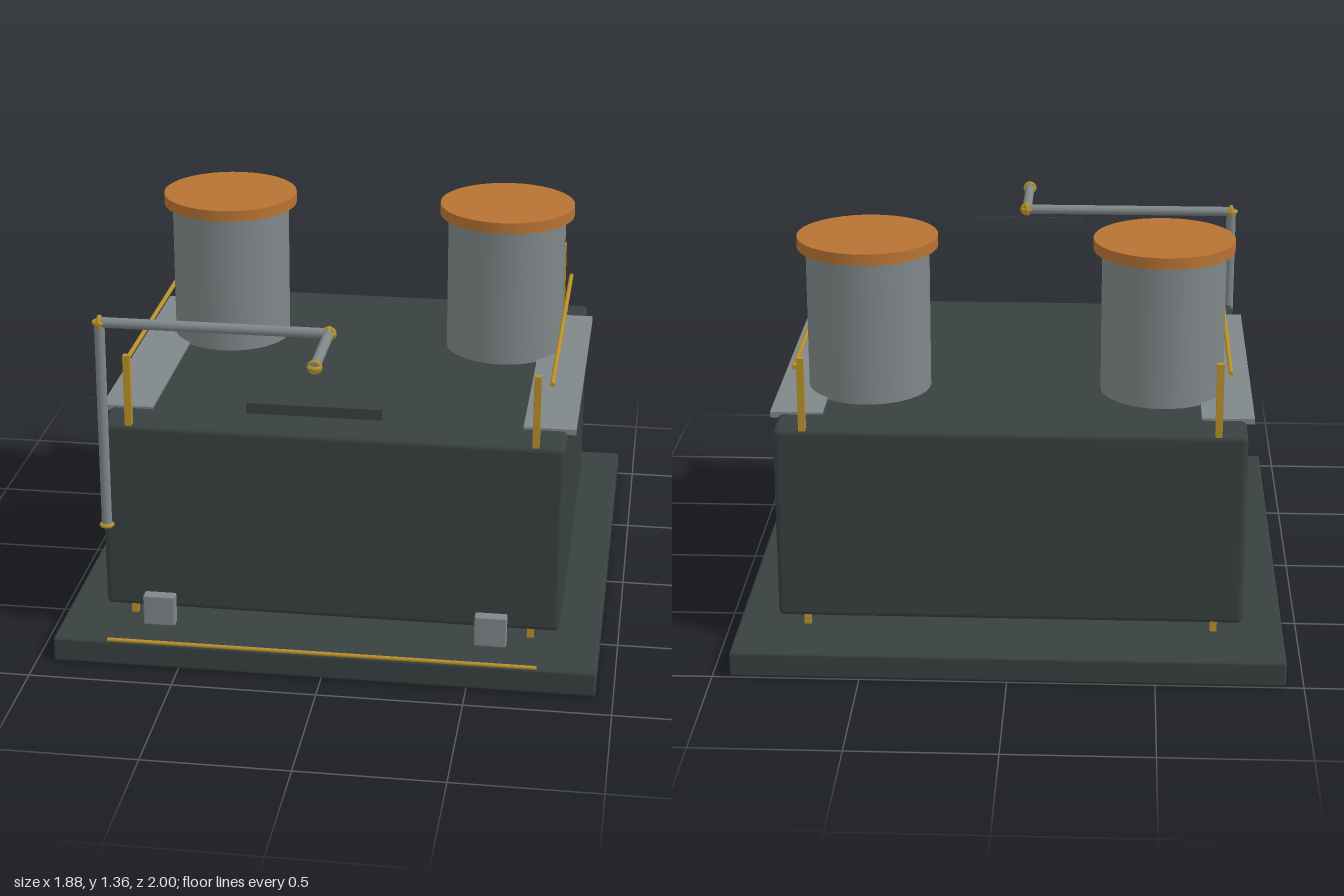
import * as THREE from 'three';
import { RoundedBoxGeometry } from 'three/addons/geometries/RoundedBoxGeometry.js';

export function createModel() {
  const model = new THREE.Group();
  model.name = 'stovePlatform';

  const paint = (name, color) => {
    const m = new THREE.MeshStandardMaterial({ color });
    m.name = name;
    return m;
  };
  const iron = paint('dark iron', 0x384040);
  const steel = paint('grey steel', 0x7f8788);
  const brass = paint('brass', 0xb8902a);
  const copper = paint('copper', 0xb87333);

  const add = (name, geometry, material, x, y, z) => {
    const mesh = new THREE.Mesh(geometry, material);
    mesh.name = name;
    mesh.position.set(x, y, z);
    model.add(mesh);
    return mesh;
  };
  const box = (name, w, h, d, material, x, y, z, r = 0) =>
    add(name, r ? new RoundedBoxGeometry(w, h, d, 3, r) : new THREE.BoxGeometry(w, h, d), material, x, y, z);

  // Round bar between two points
  const rod = (name, a, b, radius, material, sides = 16) => {
    const from = new THREE.Vector3(...a), to = new THREE.Vector3(...b);
    const dir = to.clone().sub(from);
    const mid = from.clone().add(to).multiplyScalar(0.5);
    const mesh = add(name, new THREE.CylinderGeometry(radius, radius, dir.length(), sides), material, mid.x, mid.y, mid.z);
    mesh.quaternion.setFromUnitVectors(new THREE.Vector3(0, 1, 0), dir.normalize());
  };

  // Base slab and main body
  box('baseSlab', 1.88, 0.09, 1.888, iron, 0, 0.045, -0.056, 0.01);
  box('body', 1.6, 0.69, 1.435, iron, 0, 0.465, -0.052, 0.02);

  for (const s of [-1, 1]) {
    // Chimneys with copper caps
    add('chimney', new THREE.CylinderGeometry(0.215, 0.215, 0.53, 40), steel, s * 0.514, 1.065, -0.3);
    add('chimneyCap', new THREE.CylinderGeometry(0.245, 0.245, 0.04, 40), copper, s * 0.514, 1.34, -0.3);

    // Side walkway and handrail
    box('walkway', 0.18, 0.02, 1.13, steel, s * 0.737, 0.808, -0.055);
    rod('handrail', [s * 0.74, 0.98, -0.618], [s * 0.74, 0.98, 0.512], 0.008, brass, 12);

    // Corner posts running from the base through the body
    for (const z of [0.647, -0.753])
      box('cornerPost', 0.024, 0.975, 0.022, brass, s * 0.7, 0.575, z);

    // Front blocks and the small pads under the slab
    box('frontBlock', 0.11, 0.11, 0.042, steel, s * 0.574, 0.19, 0.81, 0.005);
    box('basePad', 0.08, 0.006, 0.03, steel, s * 0.74, 0.002, 0.8);
  }

  // Brass rod along the front edge
  rod('frontRod', [-0.74, 0.11, 0.911], [0.74, 0.11, 0.911], 0.007, brass, 12);

  // Pipe: up the front corner, across, then forward
  const foot = [-0.785, 0.435, 0.675], corner = [-0.785, 1.183, 0.664];
  const elbow = [0, 1.183, 0.664], tip = [0, 1.183, 0.982];
  rod('risingPipe', foot, corner, 0.018, steel);
  rod('crossPipe', corner, elbow, 0.018, steel);
  rod('forwardPipe', elbow, tip, 0.018, steel);

  // Brass collars at the pipe ends and bends
  const ring = ([x, y, z], axis) => {
    const mesh = add('pipeCollar', new THREE.TorusGeometry(0.018, 0.008, 8, 20), brass, x, y, z);
    if (axis === 'x') mesh.rotation.y = Math.PI / 2;
    if (axis === 'y') mesh.rotation.x = Math.PI / 2;
  };
  ring(foot, 'y');
  for (const axis of ['x', 'y']) ring(corner, axis);
  for (const axis of ['x', 'y', 'z']) ring(elbow, axis);
  for (const axis of ['y', 'z']) ring([0, 1.183, 0.974], axis);

  // Thin dark plate below the pipe tip
  box('hangingPlate', 0.445, 0.036, 0.008, iron, 0, 1.038, 0.994);

  return model;
}
